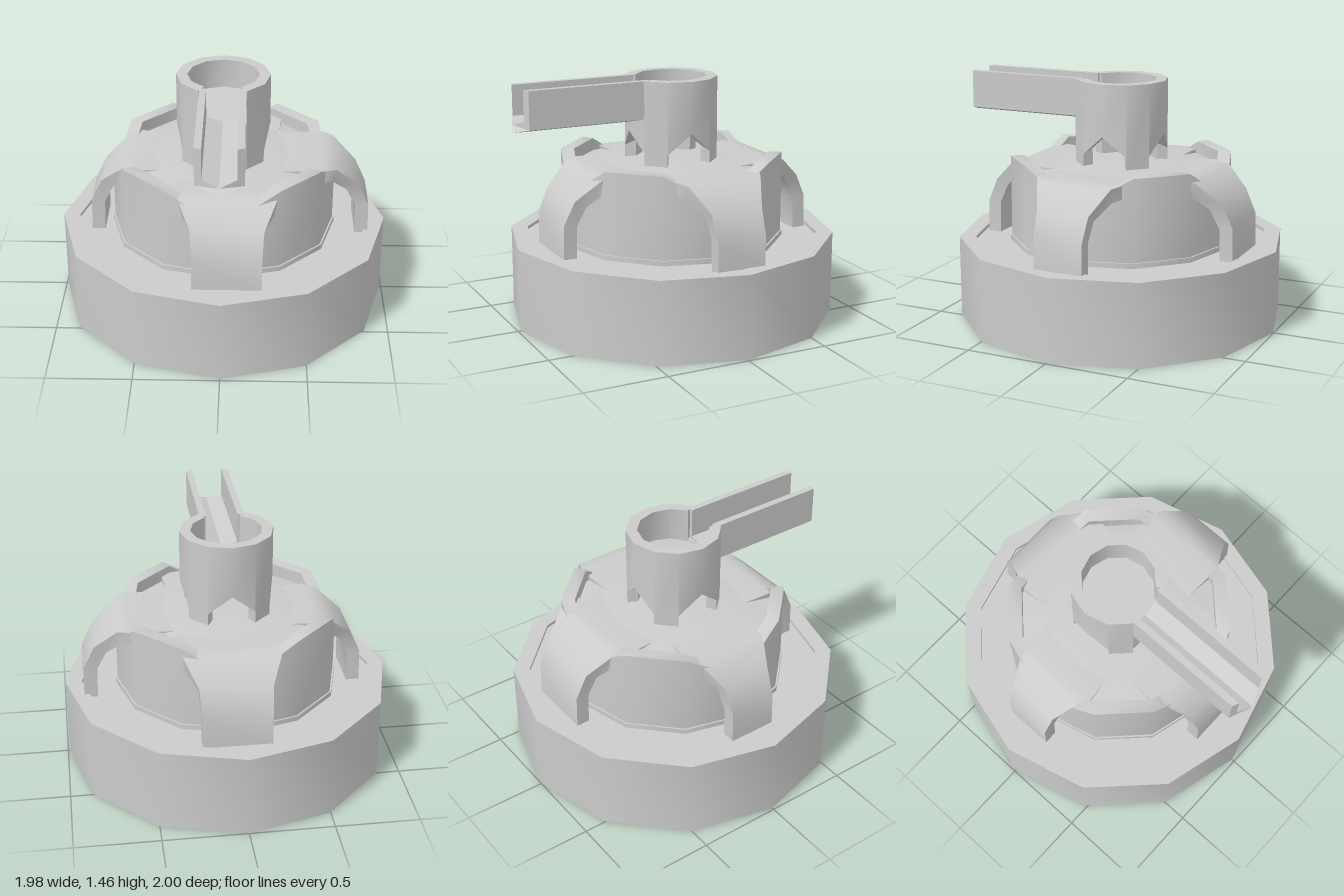
import * as THREE from 'three';
import { mergeGeometries, toCreasedNormals } from 'three/addons/utils/BufferGeometryUtils.js';

const material = new THREE.MeshStandardMaterial({ color: 0xcccccc, side: THREE.DoubleSide });
const SIDES = 12;

function part(name, geometry, crease = 0.62) {
  const mesh = new THREE.Mesh(toCreasedNormals(geometry, crease), material);
  mesh.name = name;
  return mesh;
}

// Skin over a row of four-cornered cross-sections, closed at both ends
function loft(sections) {
  const pos = [];
  const quad = (a, b, c, d) => pos.push(...a, ...b, ...c, ...a, ...c, ...d);
  for (let i = 0; i < sections.length - 1; i++) {
    const s = sections[i], t = sections[i + 1];
    for (let j = 0; j < 4; j++) {
      const k = (j + 1) % 4;
      quad(s[j], t[j], t[k], s[k]);
    }
  }
  const first = sections[0], last = sections[sections.length - 1];
  quad(...first);
  quad(...[...last].reverse());
  const g = new THREE.BufferGeometry();
  g.setAttribute('position', new THREE.Float32BufferAttribute(pos, 3));
  return g;
}

// Twelve-sided wall; heights(face, corner) gives [bottom, top, inner bottom] at each end of a face
function ringWall(rOuter, rInner, heights) {
  const faces = [];
  for (let f = 0; f < SIDES; f++) {
    faces.push(loft([0, 1].map((end) => {
      const a = ((f + end) / SIDES) * Math.PI * 2;
      const [bottom, top, innerBottom] = heights(f, f + end);
      const at = (r, y) => [Math.sin(a) * r, y, Math.cos(a) * r];
      return [at(rOuter, bottom), at(rOuter, top), at(rInner, top), at(rInner, innerBottom)];
    })));
  }
  return mergeGeometries(faces);
}

function lathe(points) {
  return new THREE.LatheGeometry(points.map(([r, y]) => new THREE.Vector2(r, y)), SIDES);
}

// Curved bracket that grows out of the dome, flares and bends down into the basin
function bracket(name, angle, reach, half, shift, top) {
  const path = [ // outer r, outer y, inner r, inner y, half width
    [0.3, 0.945, 0.3, 0.87, half + 0.1],
    [reach - 0.29, top, reach - 0.29, top - 0.08, half + 0.12],
    [reach - 0.21, top - 0.01, reach - 0.23, top - 0.09, half + 0.08],
    [reach - 0.07, 0.82, reach - 0.14, 0.78, half + 0.01],
    [reach - 0.005, 0.68, reach - 0.085, 0.67, half],
    [reach, 0.47, reach - 0.08, 0.47, half],
  ];
  const mesh = part(name, loft(path.map(([ro, yo, ri, yi, w]) => [
    [shift - w, yi, ri], [shift - w, yo, ro], [shift + w, yo, ro], [shift + w, yi, ri],
  ])), 0.9);
  mesh.rotation.y = angle;
  return mesh;
}

export function createModel() {
  const group = new THREE.Group();
  group.name = 'fountain';
  const body = new THREE.Group();
  body.name = 'fountainBody';
  body.position.z = -0.008;
  group.add(body);

  // Basin wall with a narrow rim and a slightly sunken floor
  body.add(part('basin', lathe([[0.99, 0], [0.99, 0.5], [0.89, 0.5], [0.89, 0.48], [0.6, 0.48]])));

  // Underside of the basin, recessed below the drum
  body.add(part('basinUnderside', lathe([[0, 0.51], [0.68, 0.51], [0.68, 0.425], [0.89, 0.425], [0.89, 0.48]])));

  // Drum wall, dipping where each bracket passes over it
  body.add(part('drum', ringWall(0.67, 0.59, (f, c) => [0.47, c % 3 === 0 ? 0.8 : 1, 0.47])));

  // Shallow dome inside the drum
  body.add(part('dome', lathe([[0.61, 0.92], [0.45, 0.945], [0.25, 0.96], [0, 0.962]])));

  body.add(bracket('frontBracket', 0, 0.8, 0.2, 0.035, 0.955));
  body.add(bracket('backBracket', Math.PI, 0.81, 0.2, -0.04, 0.955));
  body.add(bracket('leftBracket', Math.PI / 2, 0.88, 0.15, 0.01, 0.96));
  body.add(bracket('rightBracket', -Math.PI / 2, 0.8, 0.145, -0.015, 0.95));

  // Tower on four feet with pointed arches, open at the front for the spout
  body.add(part('tower', ringWall(0.278, 0.212, (f, c) => {
    const foot = f % 3 === 1, peak = c % 3 === 0;
    const front = f === 0 || f === SIDES - 1;
    const top = front ? (peak ? 1.24 : 1.265) : 1.46;
    if (foot) return [0.92, top, 0.92];
    return peak ? [1.15, top, 1.15] : [1.03, top, 1.06];
  })));

  // Tower floor, sloping gently down to the spout
  const floor = new THREE.CircleGeometry(0.215, SIDES);
  floor.rotateX(-Math.PI / 2);
  const p = floor.attributes.position;
  for (let i = 0; i < p.count; i++) p.setY(i, 1.265 - p.getZ(i) * 0.09);
  body.add(part('towerFloor', floor));

  // Open spout with a V-shaped floor and pointed lip
  const profile = new THREE.Shape([
    [-0.135, 1.46], [-0.135, 1.235], [0, 1.2], [0.135, 1.235], [0.135, 1.46],
    [0.095, 1.46], [0.095, 1.28], [0, 1.25], [-0.095, 1.28], [-0.095, 1.46],
  ].map(([x, y]) => new THREE.Vector2(x, y)));
  const start = 0.205, tip = 1.007;
  const spout = new THREE.ExtrudeGeometry(profile, { depth: tip - start, bevelEnabled: false });
  spout.translate(0, 0, start);
  const s = spout.attributes.position;
  for (let i = 0; i < s.count; i++) {
    if (s.getZ(i) > 0.5) s.setZ(i, tip - 0.42 * Math.abs(s.getX(i)));
  }
  body.add(part('spout', spout, 0.2));

  return group;
}
